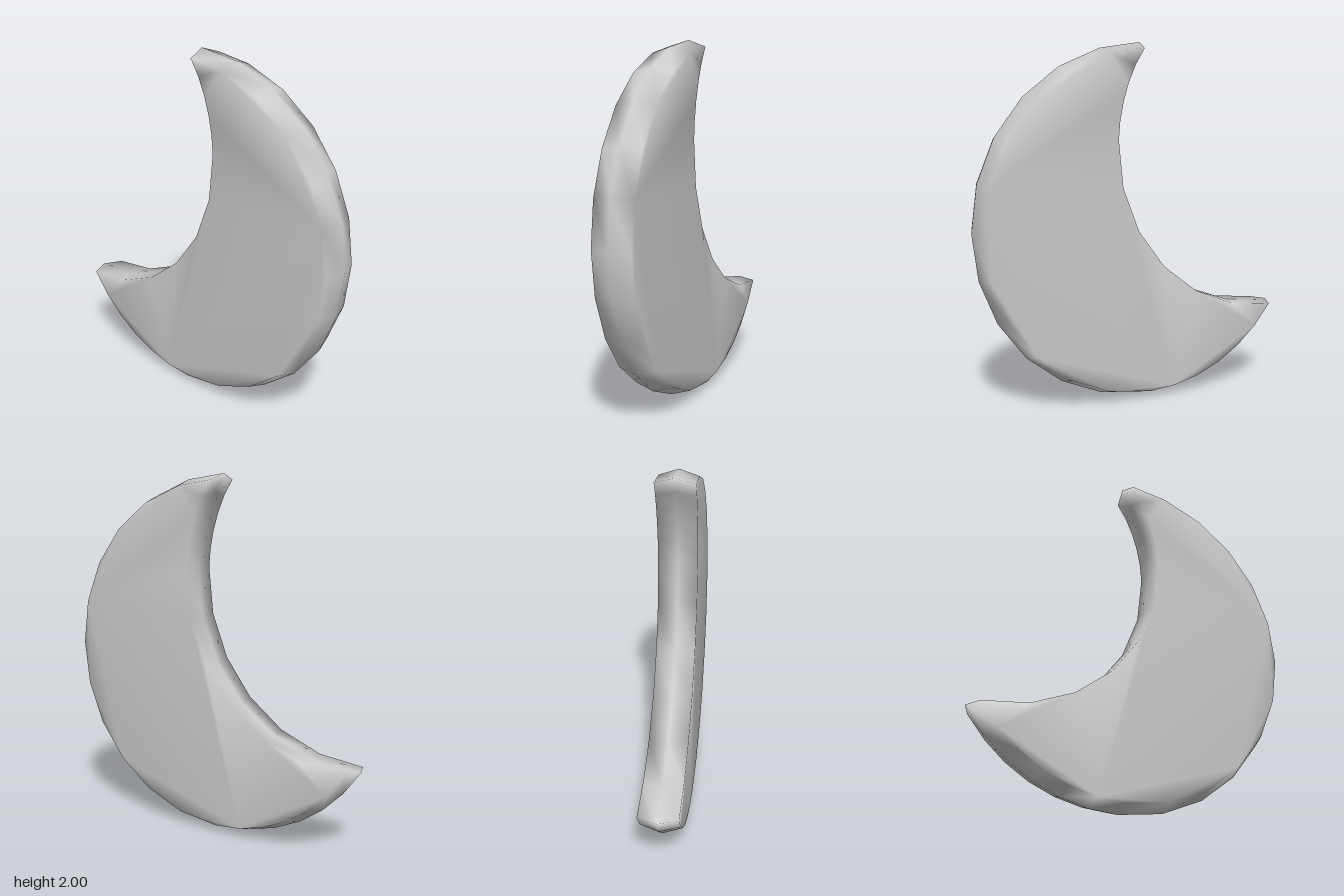
import * as THREE from 'three';

const DEG = Math.PI / 180;

// Points along an arc through the given angle stops: [degrees, segments to reach it]
function arc(cx, cy, r, start, stops) {
  const pts = [];
  let from = start;
  const add = (a) => pts.push(new THREE.Vector2(cx + r * Math.cos(a * DEG), cy + r * Math.sin(a * DEG)));
  add(from);
  for (const [to, n] of stops) {
    for (let i = 1; i <= n; i++) add(from + ((to - from) * i) / n);
    from = to;
  }
  return pts;
}

// Counter-clockwise crescent: convex outer arc, then concave inner arc (tips shared)
function crescent(rOuter, rInner, outerEnds, innerEnds) {
  const outer = arc(-0.08, 1, rOuter, outerEnds[0], [[-90, 6], [75, 11], [outerEnds[1], 1]]);
  const inner = arc(-0.859, 1.44, rInner, innerEnds[0], [[1.8, 5], [innerEnds[1], 6]]);
  return [...outer, ...inner.slice(1, -1)];
}

export function createModel() {
  const group = new THREE.Group();

  // Wide ridge outline in the middle, slightly smaller outline on both faces
  const ridge = crescent(1.0, 0.972, [-147.9, 88.9], [35, -93.6]);
  const face = crescent(0.965, 0.977, [-146.2, 87.6], [32.7, -91.4]);
  const rings = [[face, -0.11], [ridge, 0], [face, 0.11]];
  const n = ridge.length;

  const positions = [];
  for (const [outline, z] of rings) for (const p of outline) positions.push(p.x, p.y, z);

  // Bevelled rim
  const index = [];
  for (let k = 0; k < 2; k++) {
    for (let i = 0; i < n; i++) {
      const j = (i + 1) % n;
      const a = k * n + i, b = k * n + j;
      index.push(a, b, b + n, a, b + n, a + n);
    }
  }
  // Flat front and back faces
  for (const [a, b, c] of THREE.ShapeUtils.triangulateShape(face, [])) {
    index.push(2 * n + a, 2 * n + b, 2 * n + c, a, c, b);
  }

  const geometry = new THREE.BufferGeometry();
  geometry.setAttribute('position', new THREE.Float32BufferAttribute(positions, 3));
  geometry.setIndex(index);
  geometry.computeVertexNormals();

  const moon = new THREE.Mesh(geometry, new THREE.MeshStandardMaterial({ color: 0xcccccc }));
  moon.name = 'crescentMoon';
  group.add(moon);
  return group;
}
